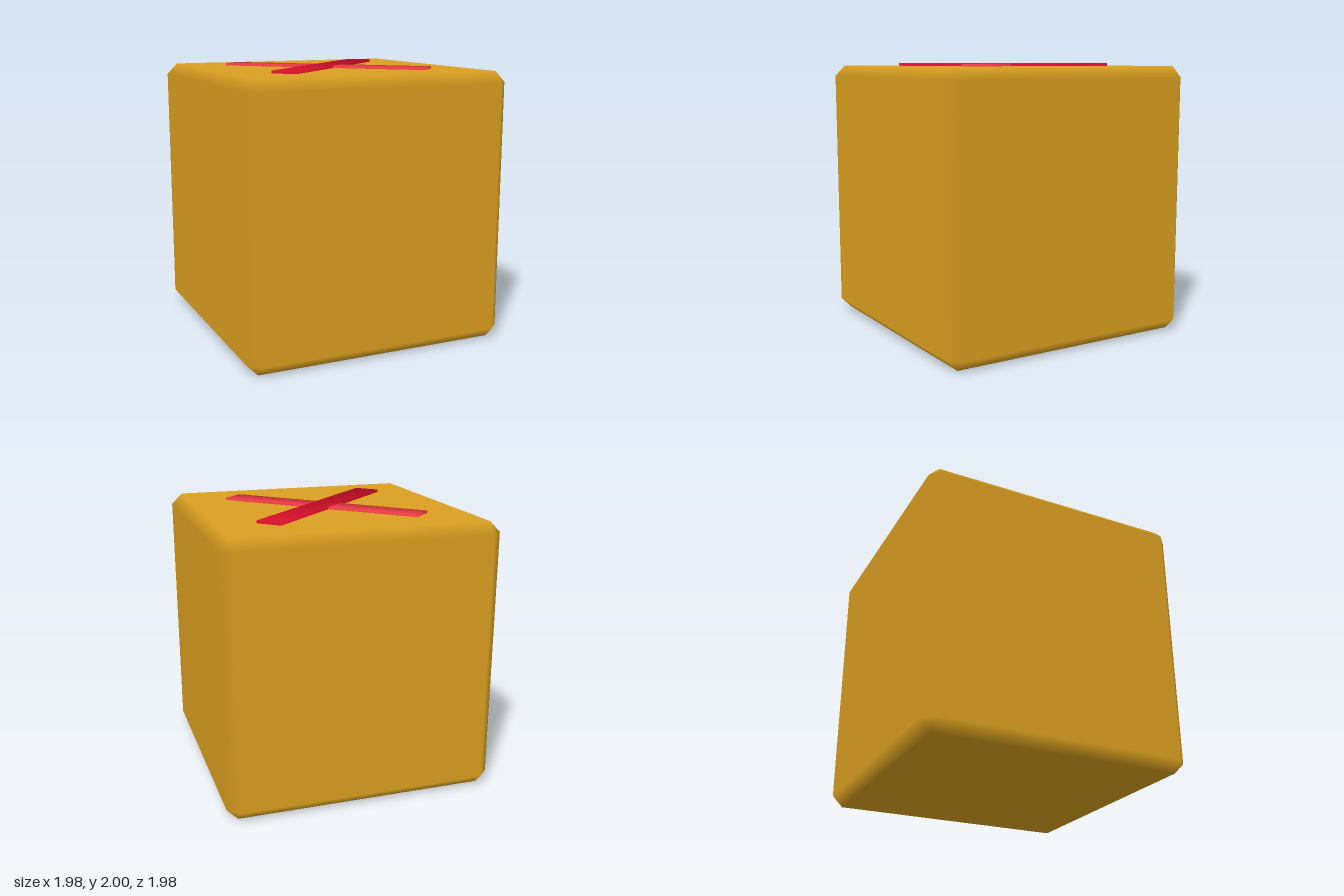
import * as THREE from 'three';
import { ConvexGeometry } from 'three/addons/geometries/ConvexGeometry.js';

const HALF = 0.99, INNER = 0.91;

// Rewrites every normal from its vertex position
function setNormals(geo, rule) {
  const p = geo.attributes.position, n = geo.attributes.normal;
  const v = new THREE.Vector3();
  for (let i = 0; i < p.count; i++) {
    rule(v.fromBufferAttribute(p, i)).normalize();
    n.setXYZ(i, v.x, v.y, v.z);
  }
  return geo;
}

// Cube with chamfered edges: flat faces, chamfers shaded smoothly between them
function chamferedCube() {
  const points = [];
  for (const sx of [-1, 1]) for (const sy of [-1, 1]) for (const sz of [-1, 1]) {
    points.push(
      new THREE.Vector3(sx * HALF, sy * INNER, sz * INNER),
      new THREE.Vector3(sx * INNER, sy * HALF, sz * INNER),
      new THREE.Vector3(sx * INNER, sy * INNER, sz * HALF));
  }
  const toFace = (c) => (Math.abs(c) > (HALF + INNER) / 2 ? Math.sign(c) : 0);
  return setNormals(new ConvexGeometry(points),
    (v) => v.set(toFace(v.x), toFace(v.y), toFace(v.z)));
}

// Softly shaded bar lying on the top face, sunk into it
function crossBar(name, color, top, angle) {
  const height = 0.1;
  const geo = setNormals(new THREE.BoxGeometry(1.59, height, 0.19),
    (v) => v.set(Math.sign(v.x), Math.sign(v.y), Math.sign(v.z)));
  const bar = new THREE.Mesh(geo, new THREE.MeshStandardMaterial({ color }));
  bar.name = name;
  bar.position.y = top - height / 2;
  bar.rotation.y = angle;
  return bar;
}

export function createModel() {
  const model = new THREE.Group();
  model.name = 'crossedBox';

  const body = new THREE.Mesh(chamferedCube(), new THREE.MeshStandardMaterial({ color: 0xdba020 }));
  body.name = 'body';
  body.position.y = HALF;

  model.add(
    body,
    crossBar('upperCrossBar', 0xe0102c, 2, Math.PI / 4),
    crossBar('lowerCrossBar', 0xf53d48, 1.997, -Math.PI / 4));
  return model;
}
